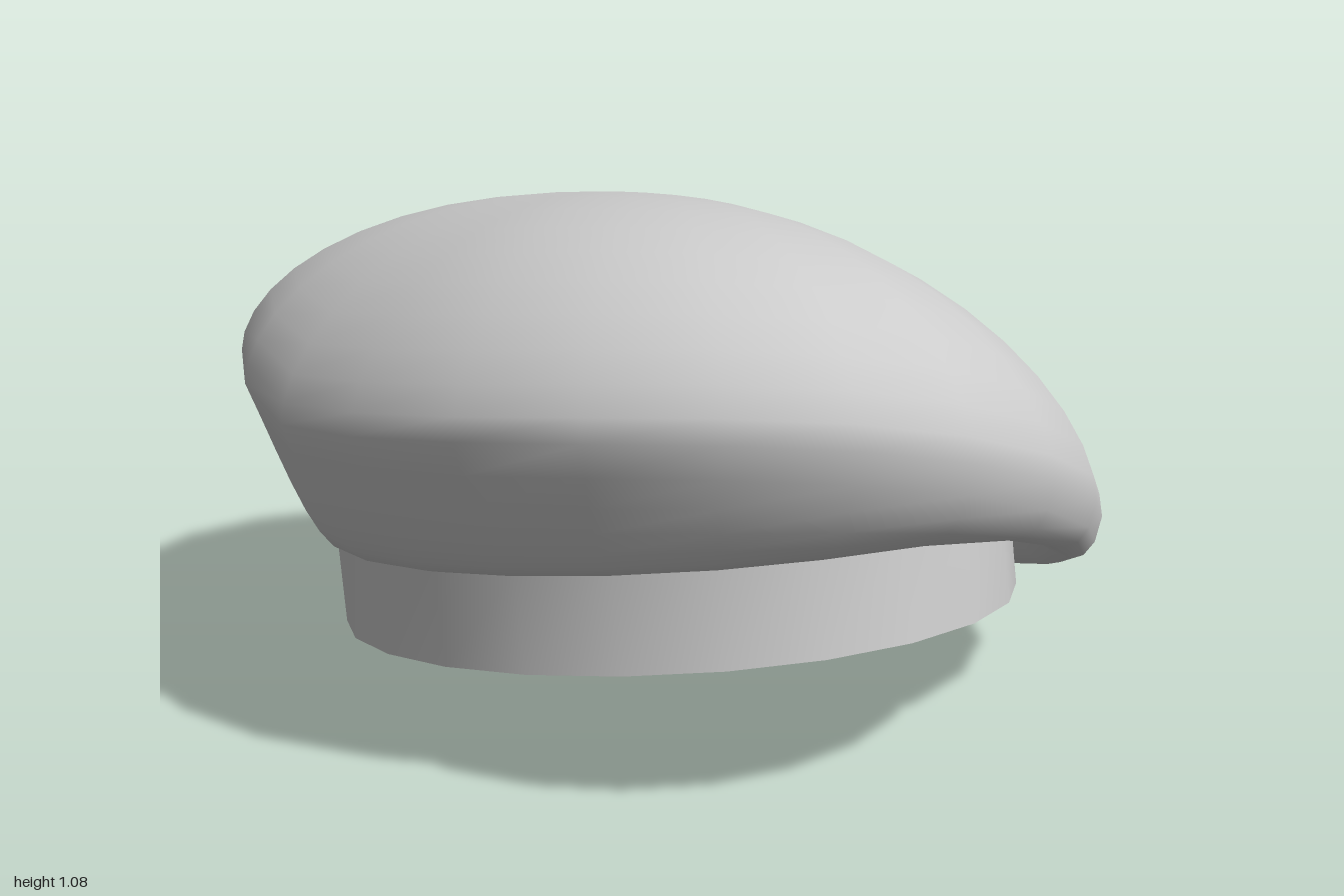
import * as THREE from 'three';
import { mergeVertices } from 'three/addons/utils/BufferGeometryUtils.js';

const SEG = 24;
const TILT = -0.182;                                   // the band rises toward the front
const BAND_POS = new THREE.Vector3(-0.025, 0.187, 0.065);
const RX = 0.665, RZ = 0.83, BAND_H = 0.195;
const material = new THREE.MeshStandardMaterial({ color: 0xcccccc, side: THREE.DoubleSide });

// Smooth skin through closed rings; ringPoint(row, cos, sin) gives each corner
function loft(name, rows, ringPoint) {
  const pos = [], index = [];
  for (let r = 0; r < rows; r++) {
    for (let i = 0; i < SEG; i++) {
      const a = (i / SEG) * Math.PI * 2;
      pos.push(...ringPoint(r, Math.cos(a), Math.sin(a)).toArray());
      if (r === rows - 1) continue;
      const p = r * SEG + i, q = r * SEG + (i + 1) % SEG;
      index.push(p, p + SEG, q, q, p + SEG, q + SEG);
    }
  }
  let geo = new THREE.BufferGeometry();
  geo.setAttribute('position', new THREE.Float32BufferAttribute(pos, 3));
  geo.setIndex(index);
  geo = mergeVertices(geo, 1e-5);
  geo.computeVertexNormals();
  return named(name, geo);
}

function named(name, geo) {
  const mesh = new THREE.Mesh(geo, material);
  mesh.name = name;
  return mesh;
}

// Point on the oval of the band, in the band's own tilted frame
const oval = (c, s, y, inset = 0) => new THREE.Vector3((RX - inset) * c, y, (RZ - inset) * s);

// Height of the slouched rim: high at the front and right, sagging to the left,
// with the back right corner held up
const rimHeight = (x, z) => 0.59 - 0.155 * x * x - 0.235 * x + 0.11 * z
  + 0.2 * Math.max(0, -x) * Math.max(0, -z);

function crownPoint(row, c, s) {
  const under = 7, top = 12;
  if (row < under) {
    // underside: from the band, hanging below the rim on the sagging side
    const hem = oval(c, s, BAND_H - 0.012, 0.006)
      .applyAxisAngle(new THREE.Vector3(1, 0, 0), TILT).add(BAND_POS);
    const rim = new THREE.Vector3(0.865 * c, rimHeight(c, s), s);
    const p2 = hem.clone().lerp(rim, 0.35);
    p2.y = hem.y - 0.26 * Math.max(0, c) * c;
    const tuck = 0.985 - 0.06 * Math.max(0, -c);       // flatter on the high side
    const p1 = new THREE.Vector3(rim.x * tuck, rim.y - 0.16, rim.z * tuck);
    return new THREE.CubicBezierCurve3(hem, p2, p1, rim).getPoint(row / under);
  }
  // domed top: from the rim to the centre, fuller toward the front
  const k = row === under + top - 0 ? 0 : Math.cos(((row - under) / top) * Math.PI / 2);
  const dome = (0.443 + 0.05 * k * s) * Math.pow(1 - k * k, 0.58);
  return new THREE.Vector3(0.865 * k * c, rimHeight(k * c, k * s) + dome, k * s);
}

// Rounded rectangle, as shape or hole
function roundRect(path, w, h, r) {
  const x = w / 2, y = h / 2;
  path.moveTo(-x + r, -y);
  path.lineTo(x - r, -y).quadraticCurveTo(x, -y, x, -y + r);
  path.lineTo(x, y - r).quadraticCurveTo(x, y, x - r, y);
  path.lineTo(-x + r, y).quadraticCurveTo(-x, y, -x, y - r);
  path.lineTo(-x, -y + r).quadraticCurveTo(-x, -y, -x + r, -y);
  return path;
}

export function createModel() {
  const model = new THREE.Group();
  model.name = 'beret';
  model.add(loft('crown', 20, crownPoint));

  const headband = new THREE.Group();
  headband.name = 'headband';
  headband.position.copy(BAND_POS);
  headband.rotation.x = TILT;
  model.add(headband);

  // Band wall, its lower edge and the hollow lining inside
  headband.add(loft('band', 2, (r, c, s) => oval(c, s, r * BAND_H)));
  headband.add(loft('bandEdge', 2, (r, c, s) => oval(c, s, 0, r ? 0 : 0.015)));
  headband.add(loft('lining', 9, (r, c, s) => {
    const t = r / 8;
    return oval(c, s, 0, 0.015).multiplyScalar(t).setY(0.18 * (1 - t * t));
  }));

  // Buckle frame at the back
  const frame = roundRect(new THREE.Shape(), 0.185, 0.22, 0.02);
  frame.holes.push(roundRect(new THREE.Path(), 0.125, 0.16, 0.012));
  const buckle = named('buckle', new THREE.ExtrudeGeometry(frame, {
    depth: 0.02, bevelEnabled: true, bevelSize: 0.01, bevelThickness: 0.01, bevelSegments: 3, curveSegments: 4,
  }));
  buckle.position.set(0, 0.093, -0.85);
  buckle.rotation.x = -0.1;
  headband.add(buckle);

  // Loose strap end, passing through the buckle and standing off the band
  const strap = new THREE.BoxGeometry(0.45, 0.16, 0.012, 12, 1, 1);
  const p = strap.attributes.position;
  for (let i = 0; i < p.count; i++) {
    const u = p.getX(i) / 0.45 + 0.5;
    p.setZ(i, p.getZ(i) - 0.03 * u + 0.015 * Math.sin(u * Math.PI * 1.6));
  }
  strap.computeVertexNormals();
  const tail = named('strapEnd', strap);
  tail.position.set(0.14, 0.1, -0.845);
  headband.add(tail);

  return model;
}
